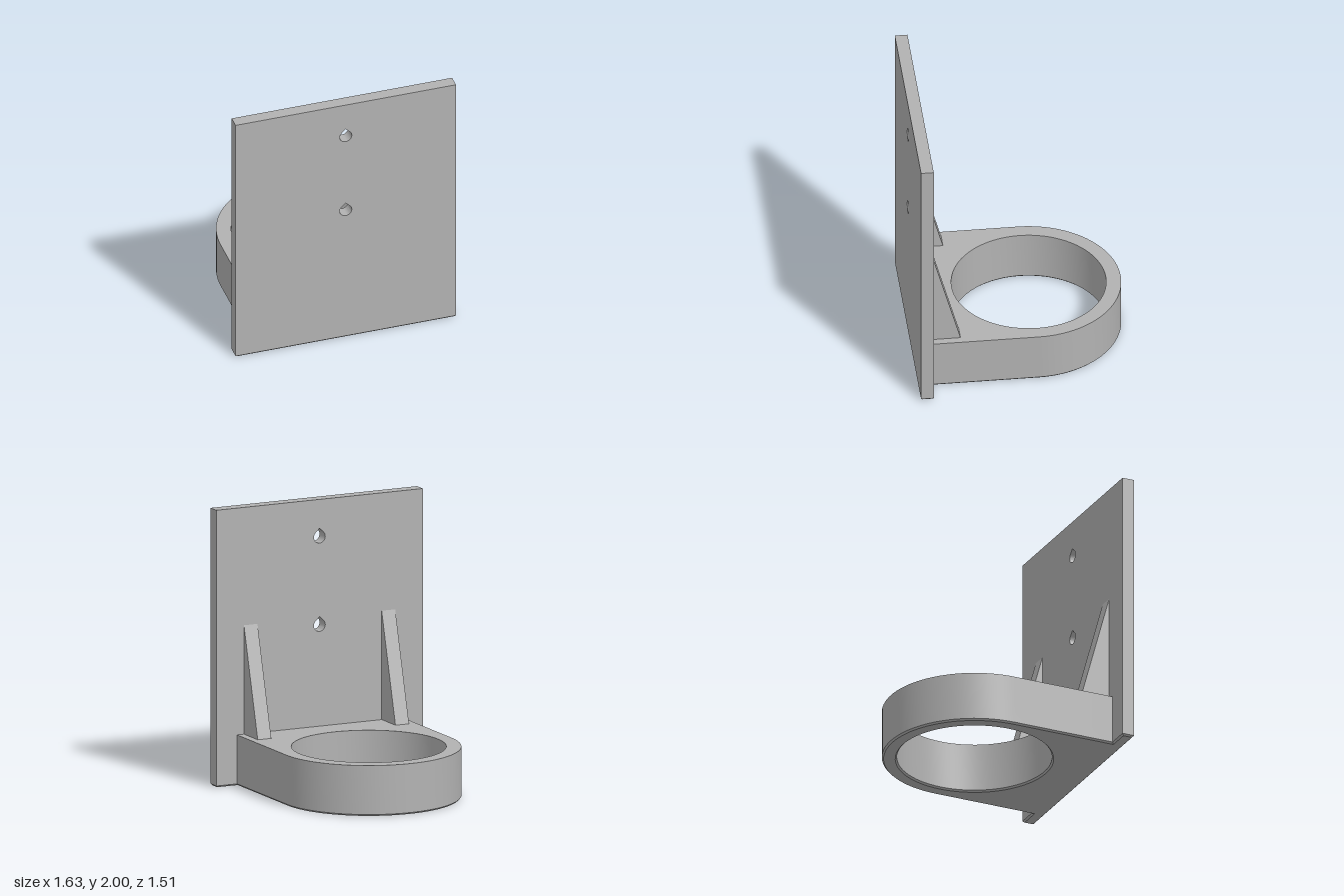
import * as THREE from 'three';
import { toCreasedNormals } from 'three/addons/utils/BufferGeometryUtils.js';

const W = 0.816;                      // half width of the back plate
const Z0 = 0.665, Z1 = 0.755;         // plate thickness range
const C = -0.102, R = 0.653, r = 0.547; // ring centre and radii
const H = 0.365;                      // ring height
const B = 0.012;                      // bottom chamfer

// Points along a circular arc
function arc(cx, cy, rad, a0, a1, n) {
  return Array.from({ length: n + 1 }, (_, i) => {
    const a = a0 + (a1 - a0) * i / n;
    return new THREE.Vector2(cx + rad * Math.cos(a), cy + rad * Math.sin(a));
  });
}

const v = (x, y) => new THREE.Vector2(x, y);

// Round opening of the ring
function ringHole() {
  const pts = arc(0, C, r, 0, Math.PI * 2, 80);
  pts.pop();
  return new THREE.Path(pts);
}

// Teardrop screw hole with a 45 degree roof
function teardrop(y) {
  const rad = 0.045;
  return new THREE.Path([...arc(0, y, rad, Math.PI * 0.75, Math.PI * 2.25, 24), v(0, y + rad * 1.38)]);
}

// Extrude a plan (x, z) upward from y0
function extrudeUp(shape, y0, y1, options = {}) {
  const geo = new THREE.ExtrudeGeometry(shape, { depth: y1 - y0, bevelEnabled: false, ...options });
  geo.rotateX(Math.PI / 2).translate(0, y1, 0);
  return toCreasedNormals(geo, 0.5);
}

export function createModel() {
  const group = new THREE.Group();
  const grey = new THREE.MeshStandardMaterial({ color: 0xb2b2b2 });
  grey.name = 'grey plastic';
  const add = (name, geo) => {
    const mesh = new THREE.Mesh(geo, grey);
    mesh.name = name;
    group.add(mesh);
    return mesh;
  };

  // Mounting plate with two screw holes
  const plate = new THREE.Shape([v(-W, B), v(W, B), v(W, 2), v(-W, 2)]);
  plate.holes.push(teardrop(1.73), teardrop(1.093));
  const plateGeo = new THREE.ExtrudeGeometry(plate, { depth: Z1 - Z0, bevelEnabled: false });
  add('mountingPlate', toCreasedNormals(plateGeo.translate(0, 0, Z0), 0.5));

  // U-shaped holder ring, its straight end set into the plate
  const bow = arc(0, C, R, Math.PI, Math.PI * 2, 48);
  const ring = new THREE.Shape([...bow, v(R, Z0 + 0.01), v(-R, Z0 + 0.01)]);
  ring.holes.push(ringHole());
  add('holderRing', extrudeUp(ring, B, H));

  // Chamfered foot under the plate and ring; its upper bevel is buried
  const foot = new THREE.Shape([...bow, v(R, Z0), v(W, Z0), v(W, Z1), v(-W, Z1), v(-W, Z0), v(-R, Z0)]);
  foot.holes.push(ringHole());
  add('chamferedFoot', extrudeUp(foot, B, B + 0.001, {
    bevelEnabled: true, bevelThickness: B, bevelSize: B, bevelOffset: -B, bevelSegments: 1,
  }));

  // Two triangular gusset ribs
  const rib = new THREE.Shape([v(Z0 + 0.005, H - 0.01), v(Z0 + 0.005, 1.15), v(Z0, 1.15), v(0.45, H), v(0.45, H - 0.01)]);
  for (const [name, x] of [['leftRib', 0.491], ['rightRib', -0.598]]) {
    const geo = new THREE.ExtrudeGeometry(rib, { depth: 0.107, bevelEnabled: false });
    geo.rotateY(-Math.PI / 2).translate(x + 0.107, 0, 0);
    add(name, geo);
  }

  return group;
}
